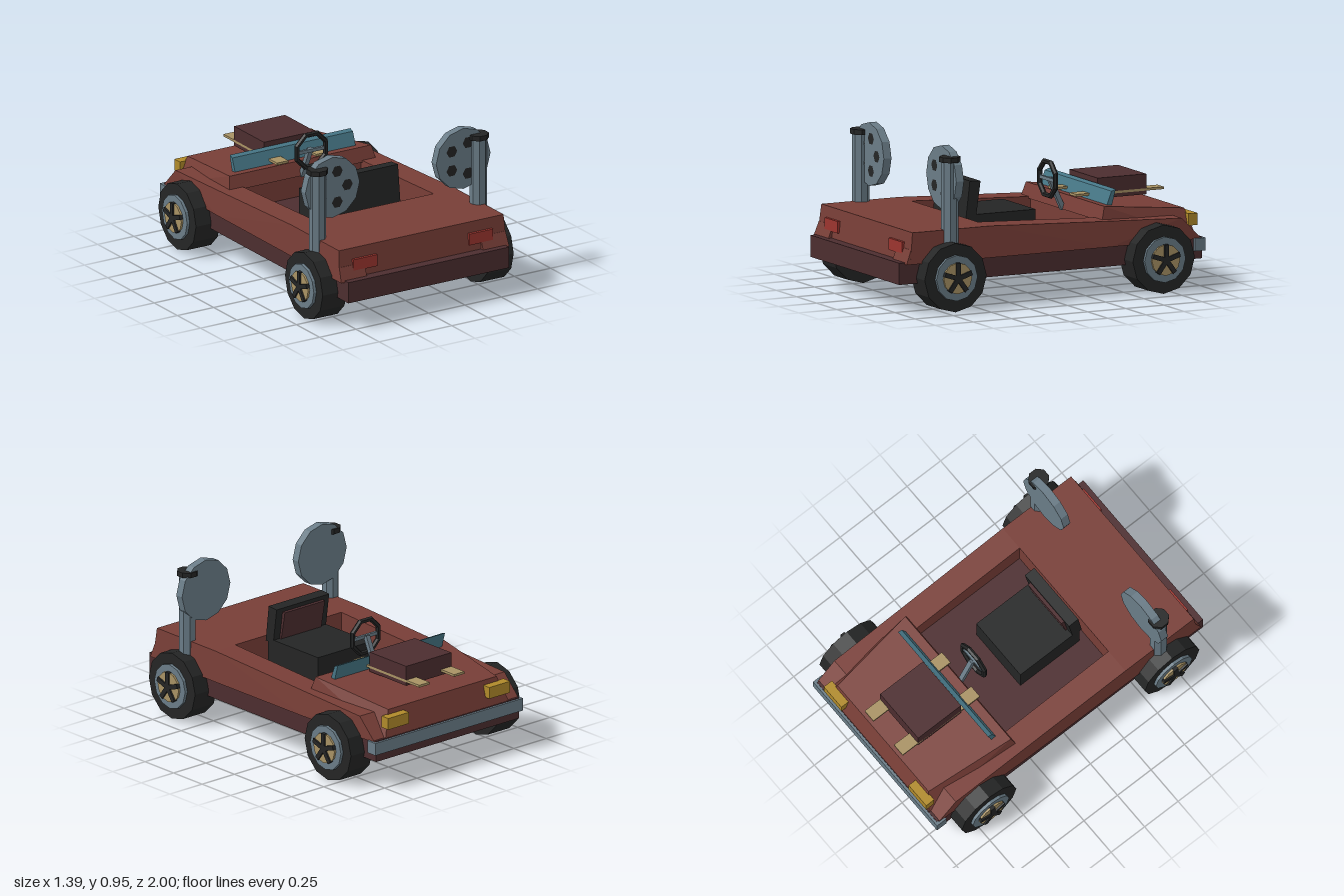
import * as THREE from 'three';
import { ConvexGeometry } from 'three/addons/geometries/ConvexGeometry.js';

const mat = (name, color) => {
  const m = new THREE.MeshStandardMaterial({ color, flatShading: true });
  m.name = name;
  return m;
};

export function createModel() {
  const brick = mat('brick body paint', 0x783e37);
  const maroon = mat('dark maroon', 0x4c2d2f);
  const grey = mat('slate metal', 0x6a7c87);
  const black = mat('black rubber', 0x242525);
  const teal = mat('teal glass', 0x467686);
  const tan = mat('tan wood', 0xa89264);
  const amber = mat('amber lamp', 0xb08a2a);
  const red = mat('red lamp', 0x9c352f);

  const car = new THREE.Group();
  car.name = 'openCar';
  const add = (name, geo, material, parent = car) => {
    const m = new THREE.Mesh(geo, material);
    m.name = name;
    parent.add(m);
    return m;
  };
  // Box given by its limits on each axis
  const box = (name, material, x0, x1, y0, y1, z0, z1, parent) => {
    const g = new THREE.BoxGeometry(x1 - x0, y1 - y0, z1 - z0);
    g.translate((x0 + x1) / 2, (y0 + y1) / 2, (z0 + z1) / 2);
    return add(name, g, material, parent);
  };
  // Convex block from corner points; "both" repeats them mirrored in x
  const both = (pts) => pts.concat(pts.map(([x, y, z]) => [-x, y, z]));
  const hull = (name, material, pts) =>
    add(name, new ConvexGeometry(pts.map((p) => new THREE.Vector3(...p))), material);

  // Lower slab, also the cockpit floor
  box('underbody', maroon, -0.552, 0.552, 0.172, 0.3, -0.985, 1);

  // Upper body around the open cockpit
  hull('rearDeck', brick, both([
    [0.578, 0.29, 0.41], [0.578, 0.29, 0.94], [0.566, 0.475, 0.41], [0.566, 0.475, 0.92],
  ]));
  hull('nose', brick, both([
    [0.575, 0.29, -0.37], [0.562, 0.44, -0.37], [0.56, 0.42, -0.85], [0.558, 0.29, -0.98],
  ]));
  hull('hood', brick, both([
    [0.505, 0.43, -0.355], [0.487, 0.515, -0.38], [0.42, 0.452, -0.94], [0.48, 0.29, -0.985],
  ]));

  for (const s of [-1, 1]) {
    const side = s > 0 ? 'left' : 'right';
    const span = (a, b) => (s > 0 ? [a, b] : [-b, -a]);

    hull(side + 'Sill', brick, [
      [0.41, 0.29, 0.41], [0.578, 0.29, 0.41], [0.41, 0.475, 0.41], [0.566, 0.475, 0.41],
      [0.41, 0.29, -0.37], [0.575, 0.29, -0.37], [0.41, 0.44, -0.37], [0.562, 0.44, -0.37],
    ].map(([x, y, z]) => [x * s, y, z]));
    hull(side + 'RearCorner', brick, [
      [0.4, 0.29, 0.9], [0.578, 0.29, 0.9], [0.4, 0.375, 0.9], [0.572, 0.375, 0.9],
      [0.4, 0.29, 0.965], [0.578, 0.29, 0.965], [0.4, 0.375, 0.933], [0.572, 0.375, 0.933],
    ].map(([x, y, z]) => [x * s, y, z]));

    // Lamps
    box(side + 'TailLamp', red, ...span(0.317, 0.48), 0.34, 0.41, 0.9, 0.945);
    box(side + 'HeadLamp', amber, ...span(0.31, 0.472), 0.355, 0.425, -1, -0.94);

    // Wheels
    for (const [end, z] of [['Rear', 0.685], ['Front', -0.68]]) {
      const wheel = new THREE.Group();
      wheel.name = side + end + 'Wheel';
      wheel.position.set(0, 0.205, z);
      car.add(wheel);
      const disc = (name, r, x0, x1, material) => {
        const g = new THREE.CylinderGeometry(r, r, x1 - x0, 12);
        g.rotateZ(Math.PI / 2).translate((s * (x0 + x1)) / 2, 0, 0);
        add(name, g, material, wheel);
      };
      disc('tire', 0.203, 0.49, 0.657, black);
      disc('rim', 0.135, 0.6, 0.675, grey);
      disc('hub', 0.092, 0.6, 0.687, tan);
      for (let i = 0; i < 5; i++) {
        const g = new THREE.BoxGeometry(0.04, 0.092, 0.028);
        g.translate(s * 0.677, 0.046, 0).rotateX((i * Math.PI * 2) / 5);
        add('spoke', g, black, wheel);
      }
    }

    // Upright post with cap, carrying a drilled disc
    const post = (name, r, y0, y1, material) => {
      const g = new THREE.CylinderGeometry(r, r, y1 - y0, 8);
      g.rotateY(Math.PI / 8).translate(s * 0.553, (y0 + y1) / 2, 0.668);
      add(name, g, material);
    };
    post(side + 'Post', 0.051, 0.38, 0.875, grey);
    post(side + 'PostCap', 0.063, 0.872, 0.902, black);
    const plate = new THREE.CylinderGeometry(0.187, 0.187, 0.05, 12);
    plate.rotateX(Math.PI / 2).translate(s * 0.45, 0.765, 0.645);
    add(side + 'Disc', plate, grey);
    for (let i = 0; i < 5; i++) {
      const a = (i * Math.PI * 2) / 5;
      const g = new THREE.CircleGeometry(0.037, 6);
      g.translate(s * 0.45 + 0.1 * Math.cos(a), 0.765 + 0.1 * Math.sin(a), 0.673);
      add(side + 'DiscHole', g, black);
    }

    // Luggage slats on the hood
    box(side + 'Slat', tan, ...span(0.095, 0.175), 0.526, 0.54, -0.935, -0.36);
  }

  box('frontBumper', grey, -0.572, 0.572, 0.22, 0.295, -1, -0.93);
  box('luggageBox', maroon, -0.175, 0.175, 0.505, 0.625, -0.82, -0.5);

  // Low windscreen
  hull('windscreen', teal, both([
    [0.415, 0.48, -0.425], [0.415, 0.48, -0.46], [0.415, 0.587, -0.465], [0.415, 0.597, -0.493],
  ]));

  // Seat
  box('seatCushion', black, -0.203, 0.203, 0.3, 0.48, -0.08, 0.36);
  hull('seatBack', black, both([
    [0.203, 0.46, 0.378], [0.203, 0.46, 0.312], [0.203, 0.68, 0.352], [0.203, 0.675, 0.282],
  ]));
  hull('seatPad', maroon, both([
    [0.155, 0.48, 0.32], [0.155, 0.48, 0.296], [0.155, 0.65, 0.296], [0.155, 0.65, 0.264],
  ]));

  // Steering wheel and column
  const ring = new THREE.TorusGeometry(0.106, 0.016, 6, 8);
  ring.rotateZ(Math.PI / 8).translate(0, 0.615, -0.265);
  add('steeringWheel', ring, black);
  const column = new THREE.BoxGeometry(0.028, 0.21, 0.028);
  column.rotateX(0.43).translate(0, 0.525, -0.32);
  add('steeringColumn', column, grey);
  box('steeringCrossbar', grey, -0.1, 0.1, 0.605, 0.625, -0.273, -0.257);

  return car;
}
